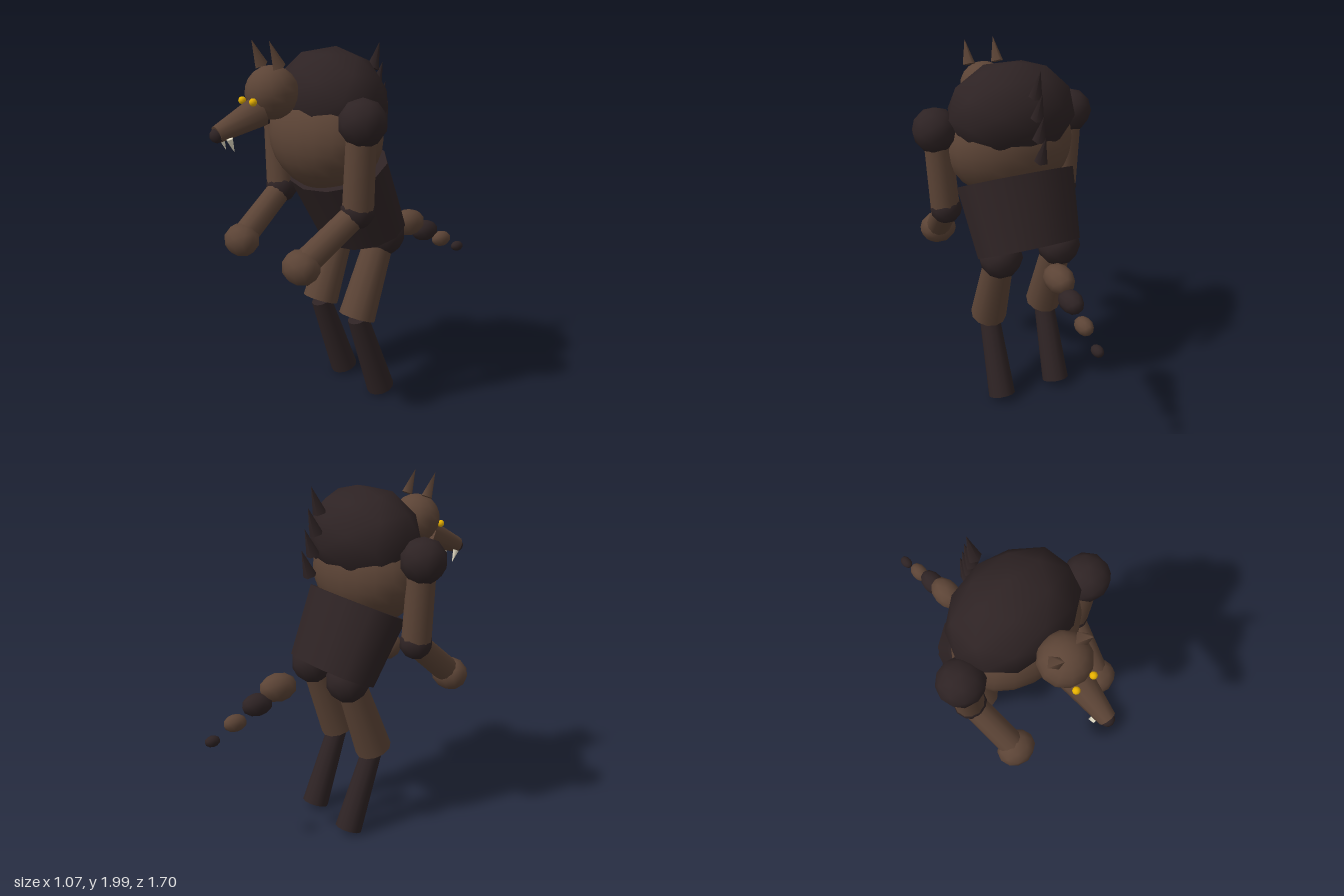
import * as THREE from 'three';

export function createModel() {
  const root = new THREE.Group();
  root.name = 'beast';
  const mat = (name, color) => {
    const m = new THREE.MeshStandardMaterial({ color });
    m.name = name;
    return m;
  };
  const brown = mat('brown fur', 0x5c4436);
  const dark = mat('dark fur', 0x2e2324);
  const amber = mat('amber eye', 0xf0b800);
  const ivory = mat('ivory', 0xe6dfc8);

  const add = (name, geometry, material, x, y, z) => {
    const mesh = new THREE.Mesh(geometry, material);
    mesh.name = name;
    mesh.position.set(x, y, z);
    root.add(mesh);
    return mesh;
  };
  // Coarse ball with smooth shading
  const lump = (name, material, [x, y, z], rx, ry = rx, rz = rx) => {
    const mesh = add(name, new THREE.IcosahedronGeometry(1, 1), material, x, y, z);
    mesh.scale.set(rx, ry, rz);
    return mesh;
  };
  // Tapered limb from point a to point b
  const limb = (name, material, a, b, ra, rb, sides = 12) => {
    const from = new THREE.Vector3(...a), to = new THREE.Vector3(...b);
    const dir = to.clone().sub(from);
    const mid = from.clone().add(to).multiplyScalar(0.5);
    const geometry = rb === 0
      ? new THREE.ConeGeometry(ra, dir.length(), sides)
      : new THREE.CylinderGeometry(rb, ra, dir.length(), sides);
    const mesh = add(name, geometry, material, mid.x, mid.y, mid.z);
    mesh.quaternion.setFromUnitVectors(new THREE.Vector3(0, 1, 0), dir.normalize());
    return mesh;
  };

  // Torso
  const chest = add('chest', new THREE.SphereGeometry(1, 20, 14), brown, 0, 1.5, 0.175);
  chest.scale.set(0.365, 0.3, 0.275);
  lump('hunchedBack', dark, [0, 1.68, 0.145], 0.365, 0.28, 0.28).rotation.x = -0.15;
  const waist = limb('waist', dark, [0, 0.955, -0.066], [0, 1.317, 0.102], 0.31, 0.35, 12);
  waist.scale.z = 0.687;

  // Head
  const head = add('head', new THREE.SphereGeometry(0.137, 12, 10), brown, 0, 1.74, 0.5);
  head.rotation.x = 0.1;
  limb('snout', brown, [0, 1.65, 0.58], [0, 1.555, 0.815], 0.082, 0.045, 10);
  lump('nose', dark, [0, 1.55, 0.815], 0.038);

  for (const [side, s] of [['left', 1], ['right', -1]]) {
    // Face details
    add(side + 'Eye', new THREE.SphereGeometry(0.02, 10, 8), amber, s * 0.055, 1.705, 0.64);
    limb(side + 'Ear', brown, [s * 0.087, 1.87, 0.505], [s * 0.087, 2.0, 0.56], 0.038, 0, 4);
    limb(side + 'Fang', ivory, [s * 0.045, 1.535, 0.77], [s * 0.045, 1.465, 0.745], 0.018, 0, 5);

    // Arm
    lump(side + 'Shoulder', dark, [s * 0.41, 1.61, 0.233], 0.125);
    limb(side + 'UpperArm', brown, [s * 0.37, 1.15, 0.233], [s * 0.402, 1.61, 0.233], 0.082, 0.076);
    lump(side + 'Elbow', dark, [s * 0.367, 1.155, 0.233], 0.09);
    limb(side + 'Forearm', brown, [s * 0.365, 1.15, 0.235], [s * 0.308, 0.91, 0.53], 0.068, 0.072);
    lump(side + 'Hand', brown, [s * 0.305, 0.902, 0.535], 0.11, 0.094, 0.096);

    // Leg
    lump(side + 'Hip', dark, [s * 0.18, 0.945, -0.078], 0.122);
    limb(side + 'Thigh', brown, [s * 0.18, 0.5, 0.098], [s * 0.18, 0.945, -0.065], 0.103, 0.08);
    limb(side + 'Shin', dark, [s * 0.18, 0.035, -0.07], [s * 0.18, 0.49, 0.092], 0.078, 0.058);
  }

  // Row of spikes down the spine
  for (let i = 0; i < 4; i++) {
    const y = -0.108 * i, z = -0.021 * i;
    limb('spineSpike', dark, [0, 1.83 + y, -0.134 + z], [0, 1.972 + y, -0.185 + z], 0.038, 0, 5);
  }

  // Tail of shrinking segments
  const tail = [
    [0.92, -0.407, 0.076, 0.08, 0.11],
    [0.85, -0.537, 0.06, 0.063, 0.09],
    [0.776, -0.672, 0.045, 0.048, 0.066],
    [0.705, -0.807, 0.03, 0.031, 0.043],
  ];
  tail.forEach(([y, z, rx, ry, rz], i) =>
    lump('tailSegment', i % 2 ? dark : brown, [0, y, z], rx, ry, rz));

  return root;
}
